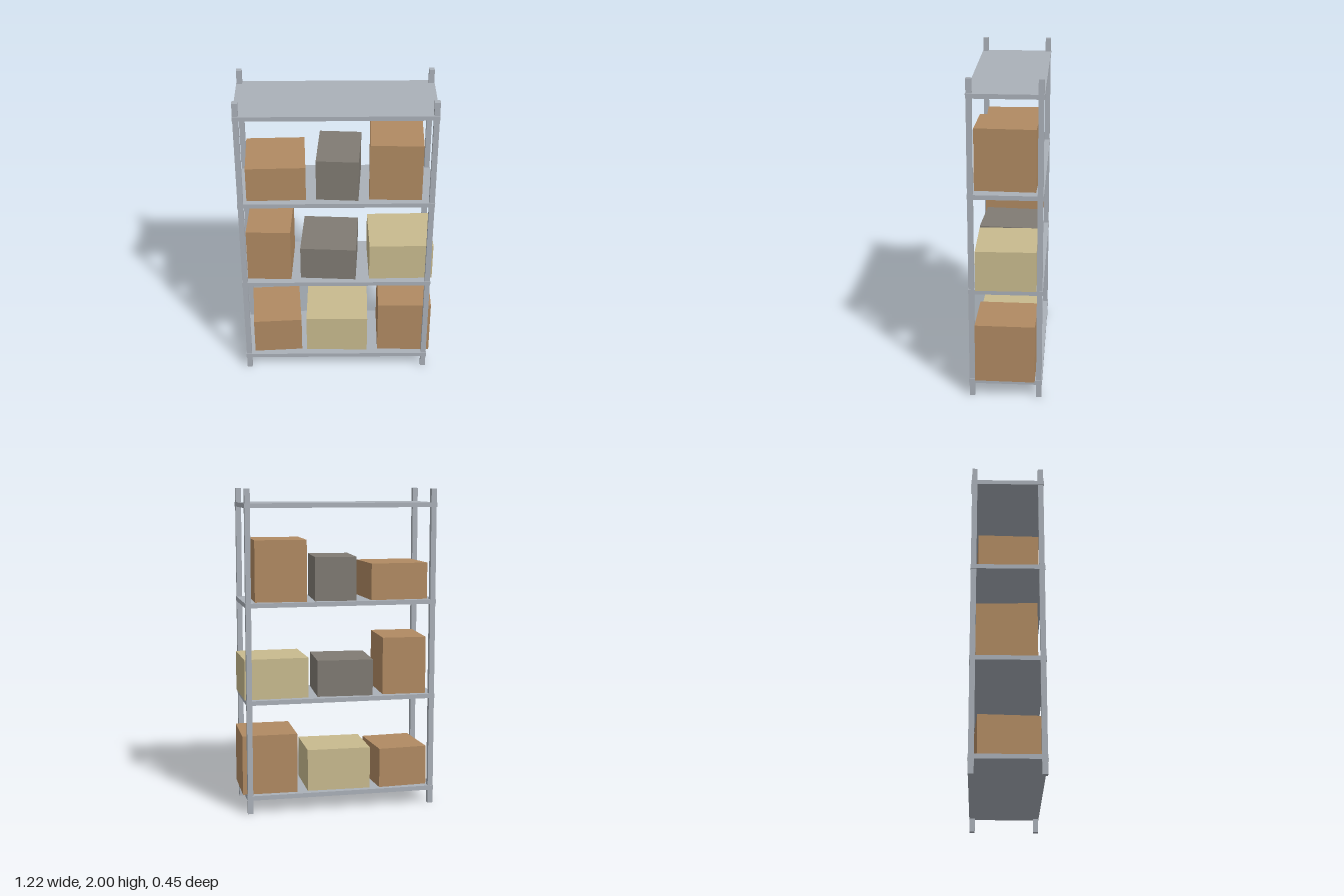
import * as THREE from 'three';

const paint = (name, color) => {
  const m = new THREE.MeshStandardMaterial({ color });
  m.name = name;
  return m;
};

export function createModel() {
  const steel = paint('steel grey', 0xaab0b8);
  const brown = paint('cardboard brown', 0xb08a62);
  const tan = paint('pale tan', 0xc8ba8e);
  const grey = paint('warm grey', 0x807b73);

  const model = new THREE.Group();
  model.name = 'storageRack';

  const addBox = (parent, name, material, size, position) => {
    const mesh = new THREE.Mesh(new THREE.BoxGeometry(...size), material);
    mesh.name = name;
    mesh.position.set(...position);
    parent.add(mesh);
    return mesh;
  };

  // Steel frame: four square posts and four shelves
  const frame = new THREE.Group();
  frame.name = 'frame';
  frame.position.x = -0.013;
  model.add(frame);
  for (const sx of [-1, 1]) {
    for (const sz of [-1, 1]) {
      const name = (sz > 0 ? 'front' : 'back') + (sx > 0 ? 'Left' : 'Right') + 'Post';
      addBox(frame, name, steel, [0.033, 2, 0.033], [sx * 0.58, 1, sz * 0.205]);
    }
  }
  const shelfHeights = [0.1, 0.7, 1.3, 1.9];
  const shelfThickness = 0.028;
  shelfHeights.forEach((y, i) =>
    addBox(frame, `shelf${i + 1}`, steel, [1.198, shelfThickness, 0.449], [0, y, 0]));

  // Cartons, each slightly turned: [shelf, left edge, right edge, top, turn, material]
  const depth = 0.365;
  const cartons = [
    [0, -0.575, -0.241, 0.364, 0.06, brown],
    [0, -0.209, 0.198, 0.377, -0.02, tan],
    [0, 0.26, 0.609, 0.487, -0.014, brown],
    [1, -0.575, -0.284, 1.074, -0.04, brown],
    [1, -0.239, 0.133, 0.942, -0.062, grey],
    [1, 0.191, 0.597, 0.965, 0.015, tan],
    [2, -0.568, -0.196, 1.541, 0.03, brown],
    [2, -0.135, 0.147, 1.585, -0.068, grey],
    [2, 0.188, 0.521, 1.692, -0.036, brown],
  ];
  const load = new THREE.Group();
  load.name = 'cartons';
  model.add(load);
  cartons.forEach(([shelf, x0, x1, top, turn, material], i) => {
    const base = shelfHeights[shelf] + shelfThickness / 2;
    const width = (x1 - x0 - depth * Math.abs(Math.sin(turn))) / Math.cos(turn);
    const carton = addBox(load, `carton${i + 1}`, material,
      [width, top - base, depth], [(x0 + x1) / 2, (base + top) / 2, 0]);
    carton.rotation.y = turn;
  });

  return model;
}
